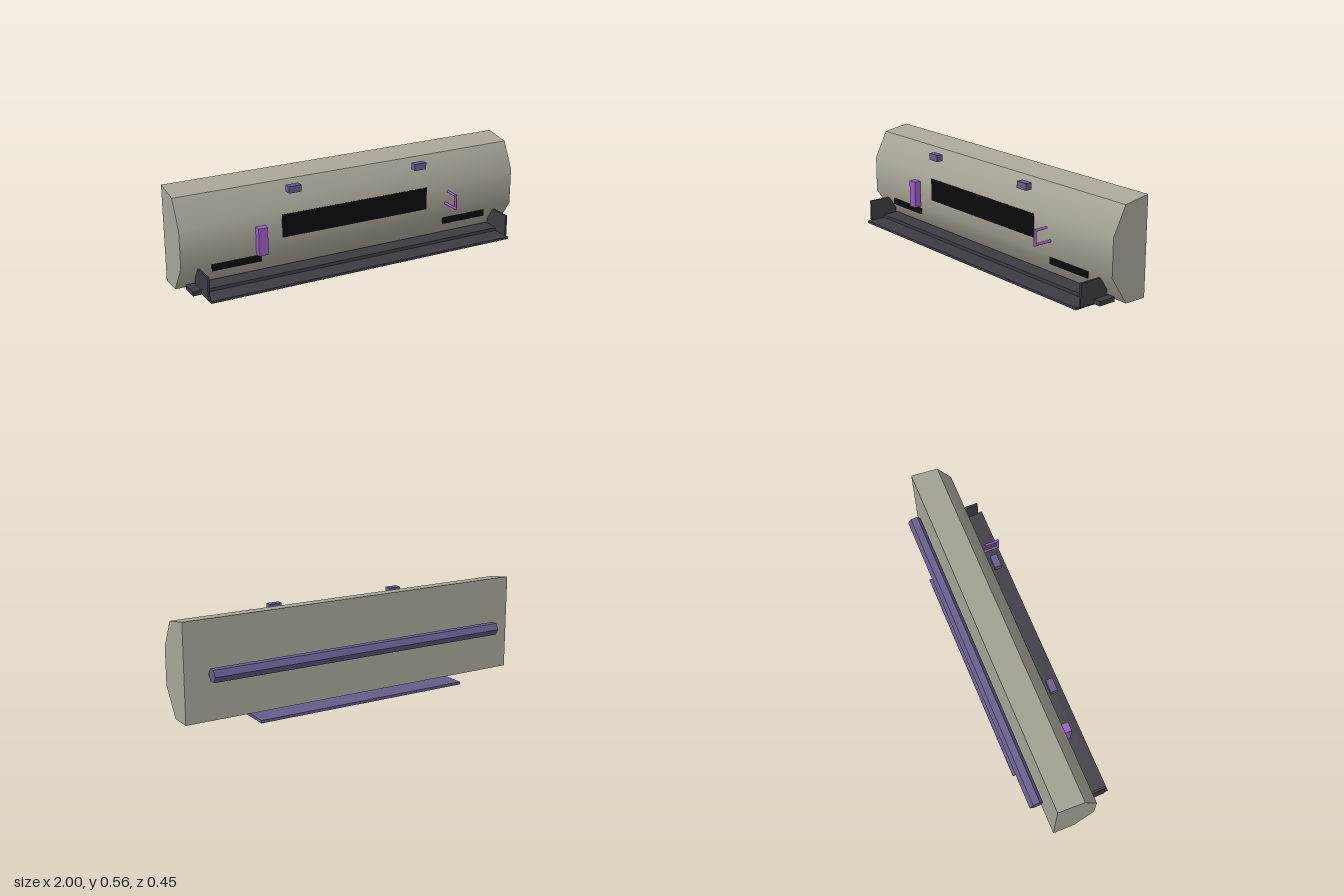
import * as THREE from 'three';
import { toCreasedNormals } from 'three/addons/utils/BufferGeometryUtils.js';

const paint = (name, color) => {
  const m = new THREE.MeshStandardMaterial({ color });
  m.name = name;
  return m;
};

export function createModel() {
  const group = new THREE.Group();
  const stone = paint('warm grey', 0xa9a698);
  const slate = paint('slate violet', 0x675a8a);
  const violet = paint('bright violet', 0x9b59c6);
  const charcoal = paint('charcoal', 0x3d3b42);
  const black = paint('black', 0x0a0a0a);

  const add = (name, geometry, material) => {
    const mesh = new THREE.Mesh(geometry, material);
    mesh.name = name;
    group.add(mesh);
    return mesh;
  };
  // Box given by its limits on each axis
  const box = (name, material, [x0, x1], [y0, y1], [z0, z1]) => {
    const g = new THREE.BoxGeometry(x1 - x0, y1 - y0, z1 - z0);
    g.translate((x0 + x1) / 2, (y0 + y1) / 2, (z0 + z1) / 2);
    return add(name, g, material);
  };
  // Side profile of [z, y] points, extruded along x about a centre
  const profile = (points, width, x = 0) => {
    const shape = new THREE.Shape(points.map(([z, y]) => new THREE.Vector2(z, y)));
    const g = new THREE.ExtrudeGeometry(shape, { depth: width, bevelEnabled: false });
    return g.translate(0, 0, -width / 2).rotateY(-Math.PI / 2).translate(x, 0, 0);
  };

  // Main body, with a softly shaded front
  const bodyProfile = [
    [-0.136, 0.034], [-0.012, 0.034], [0.088, 0.183],
    [0.088, 0.385], [0.013, 0.534], [-0.136, 0.559],
  ];
  add('body', toCreasedNormals(profile(bodyProfile, 2), 0.7), stone);

  // Dark front panels
  box('centrePanel', black, [-0.44, 0.435], [0.245, 0.371], [0.086, 0.0905]);
  box('rightVent', black, [-0.832, -0.555], [0.133, 0.173], [0.077, 0.081]);
  box('leftVent', black, [0.55, 0.827], [0.133, 0.173], [0.077, 0.081]);

  // Tray along the lower front
  box('trayFloor', charcoal, [-0.9, 0.9], [0.027, 0.04], [0.076, 0.225]);
  box('trayStep', charcoal, [-0.952, 0.948], [0.034, 0.058], [0.014, 0.113]);
  const endProfile = [[0.027, 0.034], [0.2, 0.034], [0.2, 0.158], [0.073, 0.158], [0.027, 0.09]];
  for (const s of [-1, 1]) {
    add(s < 0 ? 'rightTrayEnd' : 'leftTrayEnd', profile(endProfile, 0.012, s * 0.9), charcoal);
  }

  // Upper blocks, lower plate and rear bar
  box('rightBlock', slate, [-0.413, -0.342], [0.491, 0.528], [0.082, 0.12]);
  box('leftBlock', slate, [0.337, 0.408], [0.491, 0.528], [0.082, 0.12]);
  box('basePlate', slate, [-0.625, 0.622], [0, 0.015], [-0.212, 0.088]);
  const bar = new THREE.CylinderGeometry(0.0375, 0.0375, 1.75, 6);
  bar.rotateZ(Math.PI / 2).translate(0, 0.284, -0.187);
  const rearBar = add('rearBar', toCreasedNormals(bar, 0.5), slate);
  rearBar.name = 'rearBar';

  // Upright grip and bent handle
  box('grip', violet, [-0.592, -0.54], [0.185, 0.335], [0.094, 0.132]);
  const handlePath = [[0.113, 0.335], [0.189, 0.333], [0.189, 0.259], [0.086, 0.259]];
  const handle = new THREE.Group();
  handle.name = 'handle';
  for (let i = 0; i < 3; i++) {
    const a = new THREE.Vector3(0.56, handlePath[i][1], handlePath[i][0]);
    const b = new THREE.Vector3(0.56, handlePath[i + 1][1], handlePath[i + 1][0]);
    const dir = b.clone().sub(a);
    // Run each rod slightly past the corners so they join
    const length = dir.length() + (i === 1 ? 0.014 : 0);
    const rod = new THREE.Mesh(new THREE.CylinderGeometry(0.0075, 0.0075, length, 6), violet);
    rod.name = 'handleRod';
    rod.position.addVectors(a, b).multiplyScalar(0.5);
    rod.quaternion.setFromUnitVectors(new THREE.Vector3(0, 1, 0), dir.normalize());
    handle.add(rod);
  }
  group.add(handle);

  return group;
}
